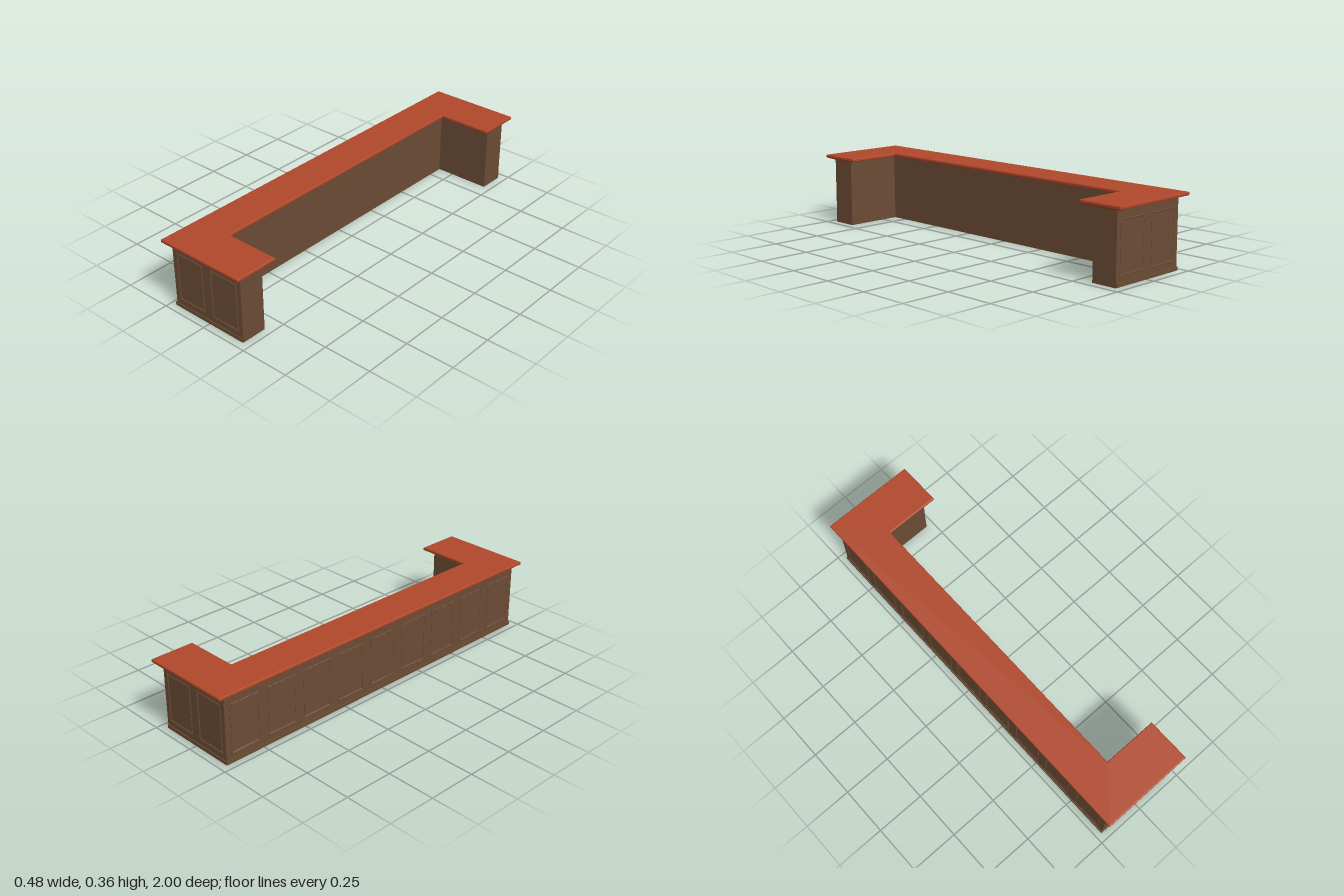
import * as THREE from 'three';

const wood = new THREE.MeshStandardMaterial({ color: 0x6b4c35 });
const topWood = new THREE.MeshStandardMaterial({ color: 0xb0482b });

// Body limits: outer back, open end, inner face, outer and inner z of the wings
const X0 = -0.215, X1 = 0.211, XI = -0.087, ZO = 0.96, ZI = 0.83;

// U-shaped plan, counter-clockwise seen from above
const plan = (x0, x1, xi, zo, zi) => [
  [x0, zo], [x1, zo], [x1, zi], [xi, zi], [xi, -zi], [x1, -zi], [x1, -zo], [x0, -zo],
];

// Closed solid through U-shaped rings of the form { y, pts }
function loftU(rings) {
  const pos = [];
  const tri = (...v) => v.forEach((p) => pos.push(...p));
  const at = (r, i) => {
    const [x, z] = r.pts[i % r.pts.length];
    return [x, r.y, z];
  };
  for (let k = 0; k < rings.length - 1; k++) {
    const lo = rings[k], hi = rings[k + 1];
    for (let i = 0; i < lo.pts.length; i++) {
      tri(at(lo, i), at(lo, i + 1), at(hi, i + 1));
      tri(at(lo, i), at(hi, i + 1), at(hi, i));
    }
  }
  const first = rings[0], last = rings[rings.length - 1];
  const contour = first.pts.map(([x, z]) => new THREE.Vector2(x, -z));
  for (const [a, b, c] of THREE.ShapeUtils.triangulateShape(contour, [])) {
    tri(at(last, a), at(last, b), at(last, c));
    tri(at(first, c), at(first, b), at(first, a));
  }
  const geo = new THREE.BufferGeometry();
  geo.setAttribute('position', new THREE.Float32BufferAttribute(pos, 3));
  geo.computeVertexNormals();
  return geo;
}

// Rectangular moulding with bevelled edges, standing on the plane z = 0
function mouldingGeometry(w, h, t, out) {
  const bevel = 0.0015;
  const rect = (P, a, b) => {
    const p = new P();
    p.moveTo(-a, -b);
    p.lineTo(a, -b);
    p.lineTo(a, b);
    p.lineTo(-a, b);
    p.closePath();
    return p;
  };
  const shape = rect(THREE.Shape, w / 2 - bevel, h / 2 - bevel);
  shape.holes.push(rect(THREE.Path, w / 2 - t + bevel, h / 2 - t + bevel));
  const geo = new THREE.ExtrudeGeometry(shape, {
    depth: out - bevel, bevelEnabled: true, bevelThickness: bevel, bevelSize: bevel, bevelSegments: 1,
  });
  return geo;
}

export function createModel() {
  const model = new THREE.Group();
  const add = (name, geo, mat, x = 0, y = 0, z = 0, parent = model) => {
    const mesh = new THREE.Mesh(geo, mat);
    mesh.name = name;
    mesh.position.set(x, y, z);
    parent.add(mesh);
    return mesh;
  };

  // Counter body
  const body = plan(X0, X1, XI, ZO, ZI);
  add('counterBody', loftU([{ y: 0, pts: body }, { y: 0.337, pts: body }]), wood);

  // Worktop: sloped underside, then a rounded edge
  const edge = (y, inset) => ({
    y, pts: plan(-0.24 + inset, 0.24 - inset, -0.042 - inset, 1 - inset, 0.775 + inset),
  });
  const rings = [{ y: 0.336, pts: body }, edge(0.346, 0.004)];
  const r = 0.005;
  for (let i = 1; i <= 3; i++) {
    const a = (i / 3) * Math.PI / 2;
    rings.push(edge(0.346 + r * (1 - Math.cos(a)), r * (1 - Math.sin(a)) * 0.8));
  }
  for (let i = 0; i <= 4; i++) {
    const a = (i / 4) * Math.PI / 2;
    rings.push(edge(0.358 + r * Math.sin(a), r * (1 - Math.cos(a))));
  }
  add('worktop', loftU(rings), topWood);

  // Skirting along the back and both ends
  const skirting = new THREE.Group();
  skirting.name = 'skirting';
  model.add(skirting);
  const out = 0.0045, sh = 0.018, sy = 0.002 + sh / 2;
  add('backSkirting', new THREE.BoxGeometry(0.02, sh, 2 * (ZO + out)), wood, X0 - out + 0.01, sy, 0, skirting);
  const endLength = 0.2095 - (X0 + 0.0155);
  for (const s of [1, -1]) {
    add(s > 0 ? 'frontSkirting' : 'rearSkirting', new THREE.BoxGeometry(endLength, sh, 0.02), wood,
      0.2095 - endLength / 2, sy, s * (ZO + out - 0.01), skirting);
  }

  // Panel mouldings: two on each end, nine along the back
  const panels = new THREE.Group();
  panels.name = 'panelMouldings';
  model.add(panels);
  const pitch = 0.2125, midY = 0.1715;
  const outer = mouldingGeometry(0.164, 0.251, 0.006, 0.003);
  const inner = mouldingGeometry(0.153, 0.24, 0.004, 0.0016);
  const addPanel = (x, z, turn) => {
    const panel = new THREE.Group();
    panel.name = 'panel';
    panel.position.set(x, midY, z);
    panel.rotation.y = turn;
    add('outerMoulding', outer, wood, 0, 0, 0, panel);
    add('innerMoulding', inner, wood, 0, 0, 0, panel);
    panels.add(panel);
  };
  for (const x of [-0.108, 0.1045]) {
    addPanel(x, ZO, 0);
    addPanel(x, -ZO, Math.PI);
  }
  for (let i = -4; i <= 4; i++) addPanel(X0, i * pitch, -Math.PI / 2);

  return model;
}
